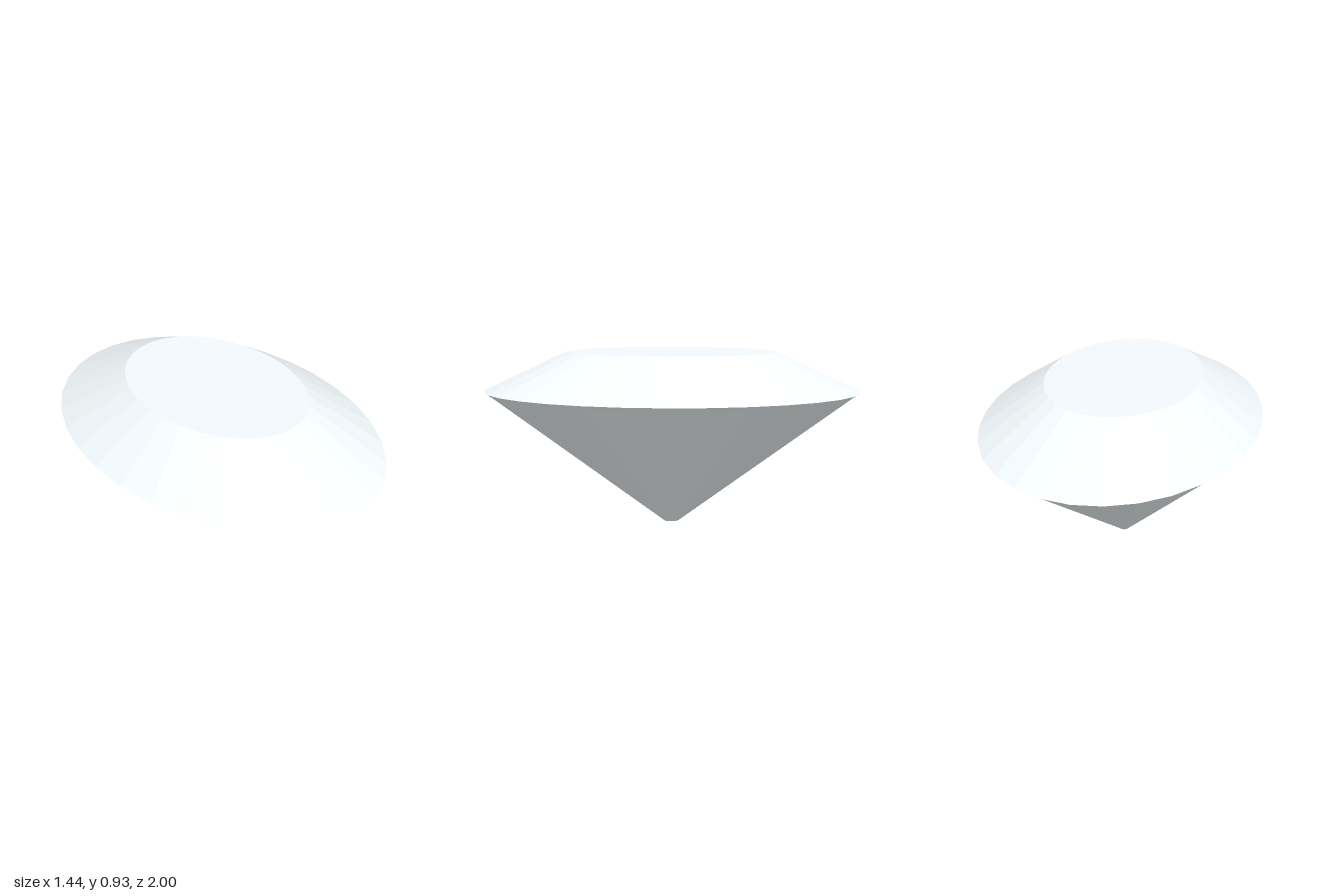
import * as THREE from 'three';

const SIDES = 32;
const WIDTH = 0.72; // oval width relative to its length

export function createModel() {
  const gem = new THREE.Group();
  gem.name = 'ovalGem';
  const material = new THREE.MeshStandardMaterial({ color: 0xf2f9fc, flatShading: true });

  // One faceted oval ring, or a flat cap where one radius is zero
  function ring(name, profile) {
    const points = profile.map(([r, y]) => new THREE.Vector2(r, y));
    const geometry = new THREE.LatheGeometry(points, SIDES);
    geometry.scale(WIDTH, 1, 1);
    geometry.computeVertexNormals();
    const mesh = new THREE.Mesh(geometry, material);
    mesh.name = name;
    gem.add(mesh);
  }

  // Bottom to top: small flat tip, cone, narrow rim, sloped crown, flat table
  ring('culet', [[0, 0], [0.04, 0]]);
  ring('pavilion', [[0.04, 0], [0.975, 0.711]]);
  ring('girdle', [[0.975, 0.711], [1, 0.728]]);
  ring('crown', [[1, 0.728], [0.558, 0.934]]);
  ring('table', [[0.558, 0.934], [0, 0.934]]);

  return gem;
}
